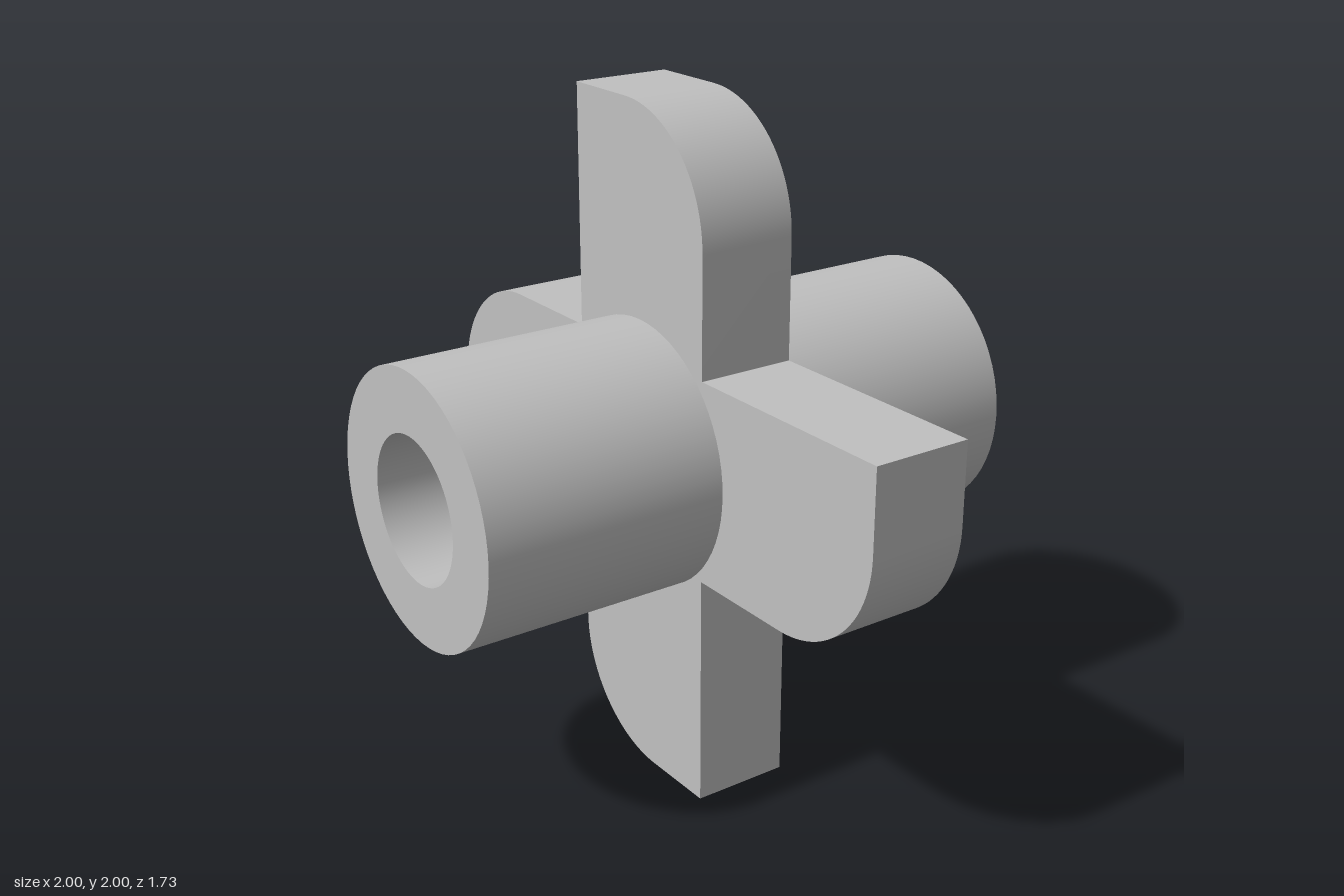
import * as THREE from 'three';
import { toCreasedNormals } from 'three/addons/utils/BufferGeometryUtils.js';

const HUB_R = 0.392, BORE_R = 0.21, HUB_LEN = 1.73;
const ARM_HALF = 0.296, ARM_LEN = 1, CORNER = 0.355, PLATE = 0.294;

// Extrude a shape along z, centred, with smooth curves and sharp edges
function extrude(shape, depth) {
  const geometry = new THREE.ExtrudeGeometry(shape, { depth, bevelEnabled: false, curveSegments: 32 });
  geometry.translate(0, 0, -depth / 2);
  return toCreasedNormals(geometry, 0.6);
}

function addHole(shape, radius) {
  shape.holes.push(new THREE.Path().absarc(0, 0, radius, 0, Math.PI * 2, true));
  return shape;
}

// Cross outline: four arms, each with its clockwise tip corner rounded
function crossShape() {
  const points = [];
  for (let arm = 0; arm < 4; arm++) {
    const turn = (arm * Math.PI) / 2;
    const add = (x, y) => points.push(new THREE.Vector2(x, y).rotateAround(new THREE.Vector2(), turn));
    add(ARM_HALF, ARM_HALF);
    for (let i = 0; i <= 24; i++) {
      const a = (i / 24) * (Math.PI / 2);
      add(ARM_HALF - CORNER + CORNER * Math.cos(a), ARM_LEN - CORNER + CORNER * Math.sin(a));
    }
    add(-ARM_HALF, ARM_LEN);
  }
  return new THREE.Shape(points);
}

export function createModel() {
  const group = new THREE.Group();
  group.name = 'fourArmHub';
  const grey = new THREE.MeshStandardMaterial({ color: 0xc0c0c0 });
  grey.name = 'plain grey';

  // Hollow hub along z
  const ring = addHole(new THREE.Shape().absarc(0, 0, HUB_R, 0, Math.PI * 2, false), BORE_R);
  const hub = new THREE.Mesh(extrude(ring, HUB_LEN), grey);
  hub.name = 'hub';

  // Four-armed plate around the middle; its hole is hidden within the hub wall
  const arms = new THREE.Mesh(extrude(addHole(crossShape(), 0.3), PLATE), grey);
  arms.name = 'arms';

  for (const mesh of [hub, arms]) {
    mesh.position.y = ARM_LEN;
    group.add(mesh);
  }
  return group;
}
